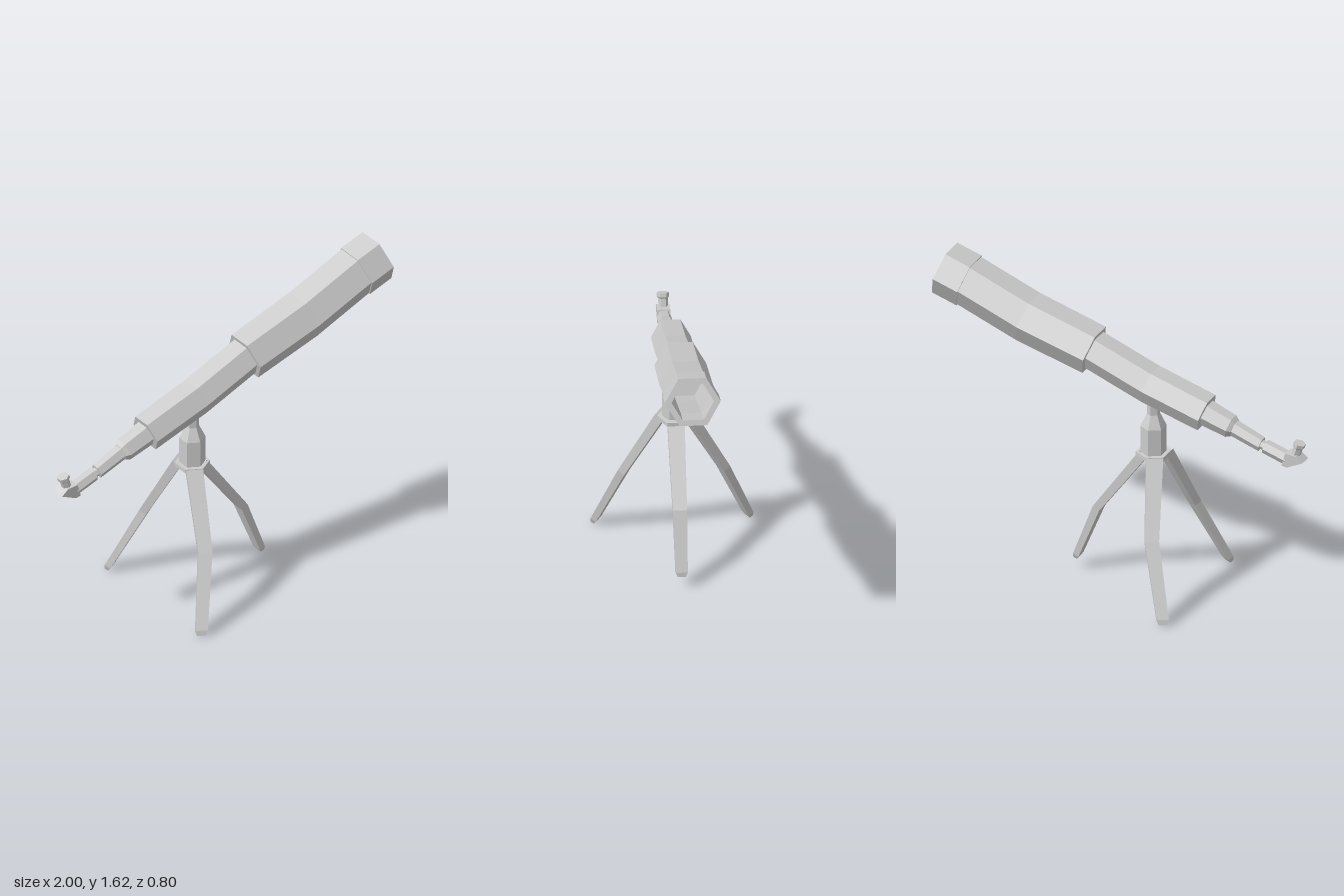
import * as THREE from 'three';

const grey = new THREE.MeshStandardMaterial({ color: 0xcccccc, flatShading: true });
const V = (x, y, z) => new THREE.Vector3(x, y, z);
const TILT = 0.314; // slope of the optical tube

function addMesh(parent, name, geometry) {
  const mesh = new THREE.Mesh(geometry, grey);
  mesh.name = name;
  parent.add(mesh);
  return mesh;
}

// Skin a list of rings (equal point counts, anticlockwise about the travel direction), capped at both ends
function loft(rings) {
  const pos = [];
  const tri = (...points) => points.forEach((p) => pos.push(p.x, p.y, p.z));
  const n = rings[0].length;
  for (let k = 0; k < rings.length - 1; k++) {
    const a = rings[k], b = rings[k + 1];
    for (let i = 0; i < n; i++) {
      const j = (i + 1) % n;
      tri(a[i], a[j], b[i]);
      tri(a[j], b[j], b[i]);
    }
  }
  const first = rings[0], last = rings[rings.length - 1];
  for (let i = 1; i < n - 1; i++) {
    tri(first[0], first[i + 1], first[i]);
    tri(last[0], last[i], last[i + 1]);
  }
  const g = new THREE.BufferGeometry();
  g.setAttribute('position', new THREE.Float32BufferAttribute(pos, 3));
  g.computeVertexNormals();
  return g;
}

// Hexagon square to the tilted tube axis, corners at the sides
function hexRing([x, y, r]) {
  const ring = [];
  for (let i = 0; i < 6; i++) {
    const a = (i * Math.PI) / 3;
    const up = r * Math.sin(a);
    ring.push(V(x - up * Math.sin(TILT), y + up * Math.cos(TILT), r * Math.cos(a)));
  }
  return ring;
}

// Leg: flat bar along a bent path; sizes are [half width, half thickness]
function legGeometry(path, side) {
  const sizes = [[0.042, 0.024], [0.035, 0.02], [0.03, 0.016], [0.02, 0.01]];
  return loft(path.map((p, k) => {
    const before = path[Math.max(k - 1, 0)];
    const after = path[Math.min(k + 1, path.length - 1)];
    const dir = after.clone().sub(before).normalize();
    const thick = dir.clone().cross(side).normalize();
    const [w, t] = sizes[k];
    return [[1, 1], [-1, 1], [-1, -1], [1, -1]].map(([a, b]) =>
      p.clone().addScaledVector(side, a * w).addScaledVector(thick, b * t));
  }));
}

// Six-sided turned part, profile from bottom to top
const turned = (profile) =>
  new THREE.LatheGeometry(profile.map(([r, y]) => new THREE.Vector2(r, y)), 6);

export function createModel() {
  const model = new THREE.Group();
  model.name = 'telescope';

  // Optical tube: bore, front collar, then telescoping stages to the rear [x, y, radius]
  addMesh(model, 'opticalTube', loft([
    [0.4, 1.302, 0.1], [0.51, 1.338, 0.1], [0.83, 1.465, 0.102], [0.963, 1.508, 0.105],
    [0.963, 1.508, 0.138], [0.83, 1.465, 0.138], [0.83, 1.465, 0.131],
    [0.51, 1.338, 0.131], [0.15, 1.232, 0.128],
    [0.15, 1.232, 0.1], [-0.155, 1.113, 0.1], [-0.462, 1.02, 0.098],
    [-0.462, 1.02, 0.067], [-0.594, 0.975, 0.06], [-0.615, 0.968, 0.046],
    [-0.615, 0.968, 0.042], [-0.762, 0.912, 0.038],
    [-0.762, 0.912, 0.024], [-0.782, 0.905, 0.024],
    [-0.782, 0.905, 0.036], [-0.905, 0.866, 0.036],
  ].map(hexRing)));

  // Mirror housing at the rear end
  const outline = new THREE.Shape([
    [-1.0, 0.873], [-0.912, 0.83], [-0.885, 0.837], [-0.905, 0.905], [-0.965, 0.902],
  ].map(([x, y]) => new THREE.Vector2(x, y)));
  const housing = new THREE.ExtrudeGeometry(outline, { depth: 0.066, bevelEnabled: false });
  housing.translate(0, 0, -0.033);
  addMesh(model, 'mirrorHousing', housing);

  // Eyepiece standing on the housing
  const eyepiece = addMesh(model, 'eyepiece', turned([
    [0, 0], [0.024, 0], [0.024, 0.072], [0.031, 0.08], [0.031, 0.1], [0, 0.1],
  ]));
  eyepiece.position.set(-0.94, 0.87, 0);
  eyepiece.rotation.z = TILT;

  // Tripod head: plate, post and neck
  const tripod = new THREE.Group();
  tripod.name = 'tripod';
  model.add(tripod);
  const head = addMesh(tripod, 'tripodHead', turned([
    [0, 0.695], [0.05, 0.695], [0.088, 0.722], [0.088, 0.743], [0.065, 0.743],
    [0.065, 0.885], [0.033, 0.953], [0.033, 1.06], [0, 1.06],
  ]));
  head.position.x = -0.174;

  // Front leg, then the mirrored rear pair
  addMesh(tripod, 'frontLeg', legGeometry(
    [V(-0.135, 0.735, 0), V(0.123, 0.373, 0), V(0.236, 0.085, 0), V(0.243, 0.064, 0)],
    V(0, 0, 1)));
  for (const s of [1, -1]) {
    addMesh(tripod, s > 0 ? 'rearLegFront' : 'rearLegBack', legGeometry(
      [V(-0.207, 0.735, 0.06 * s), V(-0.28, 0.375, 0.245 * s),
        V(-0.4, 0.032, 0.375 * s), V(-0.407, 0.008, 0.383 * s)],
      V(0.87, 0, 0.5 * s)));
  }
  return model;
}
